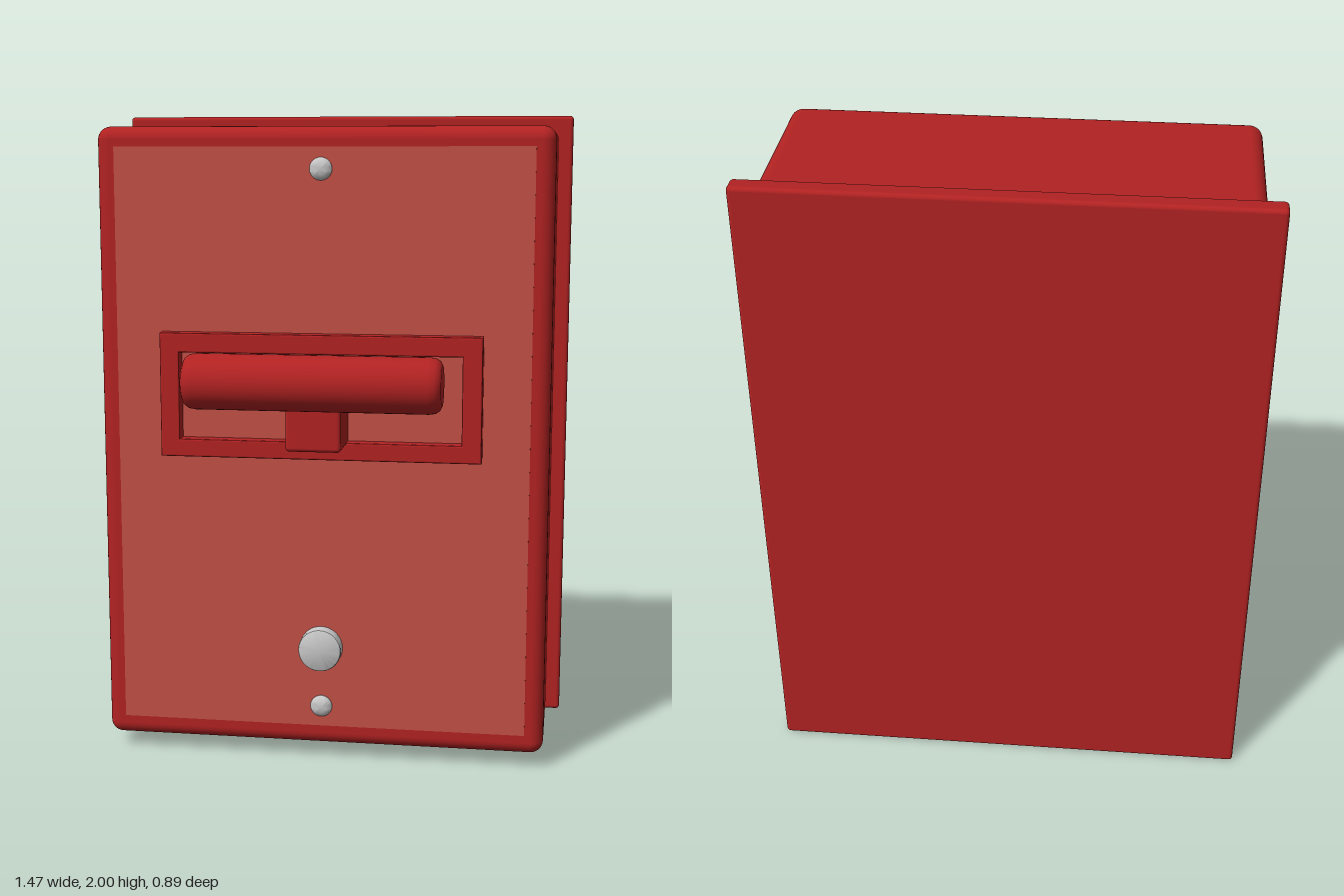
import * as THREE from 'three';
import { RoundedBoxGeometry } from 'three/addons/geometries/RoundedBoxGeometry.js';
import { toCreasedNormals } from 'three/addons/utils/BufferGeometryUtils.js';

const material = (name, color) => {
  const m = new THREE.MeshStandardMaterial({ color });
  m.name = name;
  return m;
};

export function createModel() {
  const group = new THREE.Group();
  const red = material('red', 0xb22222);
  const paleRed = material('pale red', 0xc25046);
  const silver = material('silver', 0xc8c8c8);

  const add = (name, geometry, mat, x, y, z) => {
    const mesh = new THREE.Mesh(geometry, mat);
    mesh.name = name;
    mesh.position.set(x, y, z);
    group.add(mesh);
    return mesh;
  };

  // Box given by its half width and its y and z ranges
  const roundedBox = (name, halfX, y0, y1, z0, z1, radius) =>
    add(name, new RoundedBoxGeometry(halfX * 2, y1 - y0, z1 - z0, 4, radius), red,
      0, (y0 + y1) / 2, (z0 + z1) / 2);

  // Solid of revolution along y, from [radius, height] pairs
  const turned = (points) => toCreasedNormals(
    new THREE.LatheGeometry(points.map(([r, h]) => new THREE.Vector2(r, h)), 40), 0.6);

  // Housing and wall plate
  roundedBox('wallPlate', 0.735, 0, 2, -0.445, -0.385, 0.012);
  roundedBox('housing', 0.69, 0.045, 1.96, -0.385, 0.19, 0.04);

  // Thin front panel
  add('frontPanel', new THREE.BoxGeometry(1.265, 1.79, 0.006), paleRed, 0, 1.005, 0.19);

  // Raised frame around the handle
  const rectangle = (path, x, y0, y1) => path
    .moveTo(-x, y0).lineTo(x, y0).lineTo(x, y1).lineTo(-x, y1).closePath();
  const frame = rectangle(new THREE.Shape(), 0.485, 0.97, 1.34);
  frame.holes.push(rectangle(new THREE.Path(), 0.435, 1.015, 1.29));
  add('handleFrame', new THREE.ExtrudeGeometry(frame, {
    depth: 0.04, bevelThickness: 0.005, bevelSize: 0.005, bevelSegments: 2,
  }), red, 0, 0, 0.19);

  // Pull handle on its stem
  roundedBox('handleStem', 0.083, 1.01, 1.215, 0.185, 0.355, 0.012);
  const halfGrip = [[0, 0.382], [0.06, 0.382], [0.072, 0.376], [0.08, 0.364], [0.083, 0.345]];
  const grip = add('handleGrip', turned([
    ...halfGrip.map(([r, h]) => [r, -h]),
    ...[...halfGrip].reverse(),
  ]), red, 0, 1.217, 0.362);
  grip.rotation.z = Math.PI / 2;

  // Lock and the two domed screws
  const lock = add('lock', turned([
    [0, 0], [0.067, 0], [0.067, 0.037], [0.065, 0.042], [0.06, 0.045], [0, 0.045],
  ]), silver, 0, 0.365, 0.19);
  lock.rotation.x = Math.PI / 2;
  for (const [name, y] of [['topScrew', 1.835], ['bottomScrew', 0.175]]) {
    const screw = add(name, turned([
      [0.034, 0], [0.034, 0.006], [0.029, 0.013], [0.017, 0.019], [0, 0.021],
    ]), silver, 0, y, 0.19);
    screw.rotation.x = Math.PI / 2;
  }

  return group;
}
